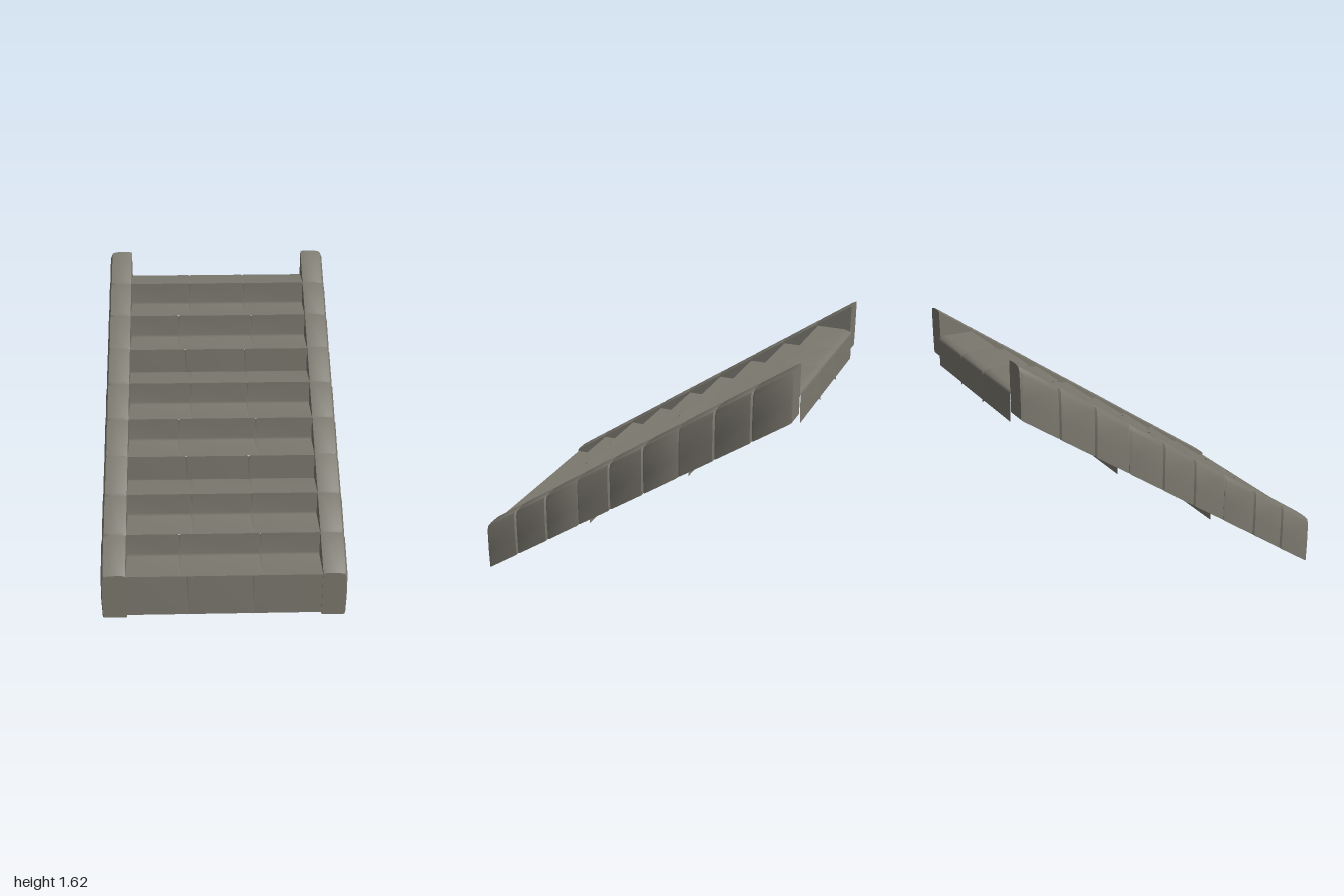
import * as THREE from 'three';
import { toCreasedNormals } from 'three/addons/utils/BufferGeometryUtils.js';

const SECTIONS = 3, LENGTH = 0.66, RISE = 0.44;
const INNER = 0.585, OUTER = 0.73;

// Skin a list of equally long point rows
function skin(rows) {
  const n = rows[0].length, index = [];
  for (let i = 0; i < rows.length - 1; i++) {
    for (let j = 0; j < n - 1; j++) {
      const a = i * n + j, c = a + n;
      index.push(a, a + 1, c, a + 1, c + 1, c);
    }
  }
  const g = new THREE.BufferGeometry();
  g.setAttribute('position', new THREE.Float32BufferAttribute(rows.flat(2), 3));
  g.setIndex(index);
  g.computeVertexNormals();
  return g;
}

// Strip of three stones across the stair; profile points are [y, z], seams are small notches
function stoneStrip(profile, seams) {
  const w = 0.008, d = 0.009;
  const columns = [[-INNER - 0.01, 0]];
  for (const s of seams) columns.push([s - w, 0], [s, d], [s + w, 0]);
  columns.push([INNER + 0.01, 0]);
  return skin(profile.map(([y, z]) => columns.map(([x, dip]) => [x, y - dip, z - dip])));
}

// Sloping side rail of three stones; side is +1 or -1
function railGeometry(side) {
  const section = [
    [INNER, 0], [OUTER, 0], [OUTER + 0.003, 0.12], [OUTER, 0.272], [OUTER - 0.012, 0.298],
    [OUTER - 0.05, 0.306], [INNER + 0.02, 0.306], [INNER, 0.3], [INNER, 0],
  ];
  if (side < 0) section.reverse();
  const mid = (INNER + OUTER) / 2;
  // [fraction along the rail, shrink at the stone seams]
  const stations = [
    [0, 0.02], [0.02, 0], [0.315, -0.008], [0.33, 0.025], [0.345, 0],
    [0.645, -0.008], [0.66, 0.025], [0.675, 0], [0.98, -0.004], [1, 0.012],
  ].reverse();
  const ring = ([t, shrink], k) => section.map(([x, h]) => {
    const outward = x > INNER ? 1 - shrink * 2 : 1;
    return [
      side * (k * (INNER + (x - INNER) * outward) + (1 - k) * mid),
      t * RISE + 0.153 + (h - 0.153) * (1 - shrink) * k,
      0.996 - t * (LENGTH + 0.002),
    ];
  });
  const rows = stations.map((s) => ring(s, 1));
  rows.unshift(ring(stations[0], 0));
  rows.push(ring(stations[stations.length - 1], 0));
  return toCreasedNormals(skin(rows), 0.7);
}

export function createModel() {
  const stone = new THREE.MeshStandardMaterial({ color: 0x7b786e, side: THREE.DoubleSide });
  stone.name = 'grey stone';

  const model = new THREE.Group();
  model.name = 'stoneStairs';

  const Y = [0.29, 0.44, 0.587];       // tread heights
  const Z = [0.99, 0.767, 0.547];      // riser positions
  const BACK = 0.328;
  const seams = [[-0.22, 0.172], [-0.265, 0.225], [-0.188, 0.18]];

  // Each strip is smooth inside; the step noses between strips stay sharp
  const strips = [
    ['frontRiser', [[0.015, Z[0]], [Y[0], Z[0]]], seams[0]],
    ['lowerStep', [[Y[0], Z[0]], [Y[0] - 0.002, Z[1] + 0.01], [Y[0] + 0.012, Z[1]], [Y[1], Z[1]]], seams[1]],
    ['middleStep', [[Y[1], Z[1]], [Y[1] - 0.002, Z[2] + 0.01], [Y[1] + 0.012, Z[2]], [Y[2], Z[2]]], seams[2]],
    ['topTreadAndBack', [[Y[2], Z[2]], [Y[2] - 0.004, BACK + 0.04], [Y[2] - 0.018, BACK + 0.004],
      [Y[2] - 0.035, BACK], [0.39, BACK - 0.004]], seams[2]],
  ].map(([name, profile, s]) => [name, stoneStrip(profile, s)]);

  const parts = [...strips, ['leftRail', railGeometry(1)], ['rightRail', railGeometry(-1)]];

  for (let i = 0; i < SECTIONS; i++) {
    const flight = new THREE.Group();
    flight.name = 'flight' + (i + 1);
    for (const [name, geometry] of parts) {
      const mesh = new THREE.Mesh(geometry, stone);
      mesh.name = name;
      flight.add(mesh);
    }
    flight.position.set(0, i * RISE, -i * LENGTH);
    model.add(flight);
  }
  return model;
}
